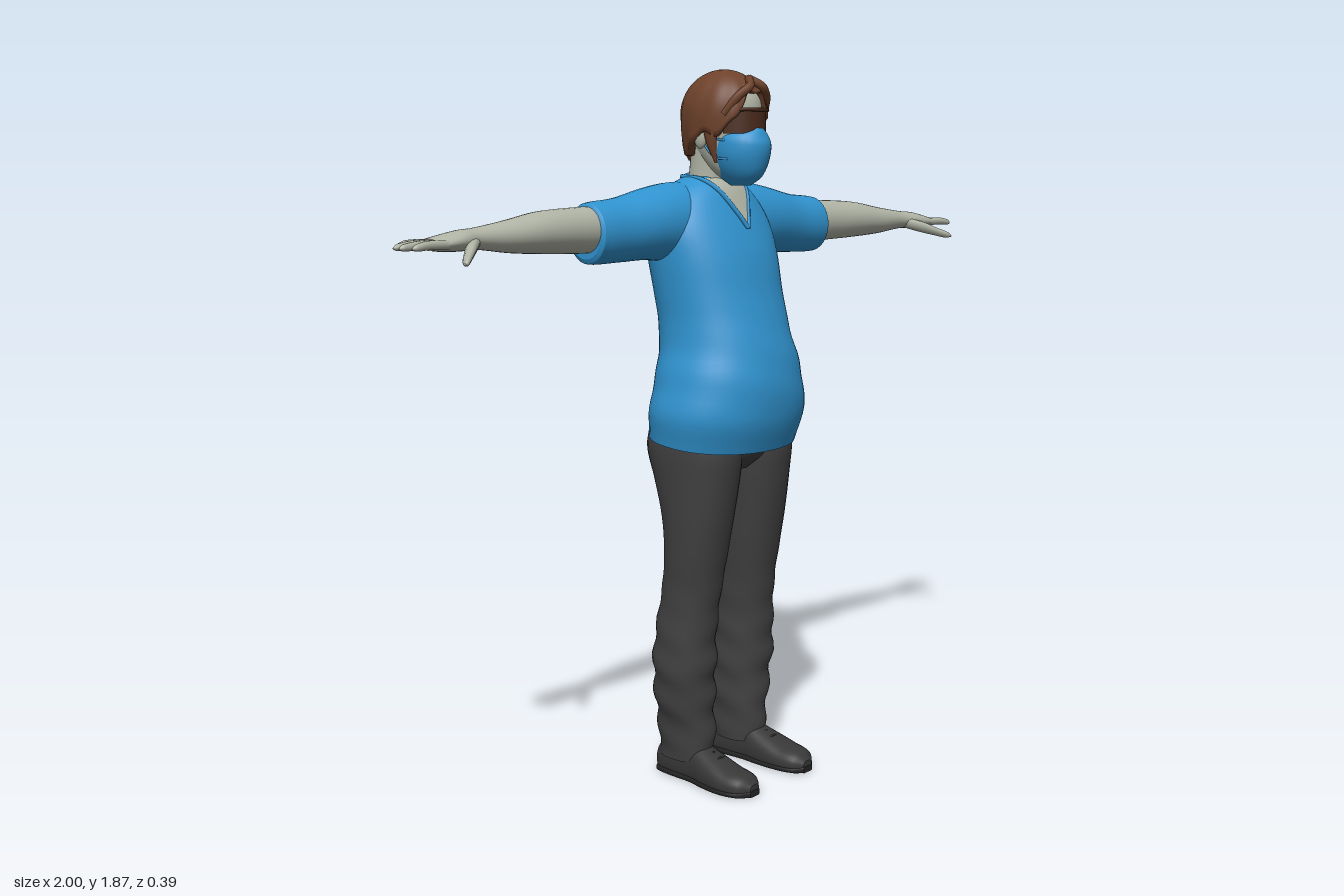
import * as THREE from 'three';

const mat = (name, color, side = THREE.FrontSide) => {
  const m = new THREE.MeshStandardMaterial({ color, side });
  m.name = name;
  return m;
};

// Smooth interpolation of table rows [t, a, b, ...] at t
function sample(rows, t) {
  const n = rows.length;
  let i = 0;
  while (i < n - 2 && t > rows[i + 1][0]) i++;
  const slope = (k, c) => {
    const a = rows[Math.max(0, k - 1)], b = rows[Math.min(n - 1, k + 1)];
    return (b[c] - a[c]) / (b[0] - a[0]);
  };
  const p = rows[i], q = rows[i + 1], h = q[0] - p[0];
  const u = Math.min(1, Math.max(0, (t - p[0]) / h)), u2 = u * u, u3 = u2 * u;
  return p.map((v, c) => c === 0 ? t
    : (2 * u3 - 3 * u2 + 1) * v + (u3 - 2 * u2 + u) * h * slope(i, c)
    + (3 * u2 - 2 * u3) * q[c] + (u3 - u2) * h * slope(i + 1, c));
}

// Surface from a grid of points f(i, j); columns may wrap round
function grid(rows, cols, f, wrap = false, caps = false) {
  const pos = [], idx = [], w = wrap ? cols : cols + 1;
  for (let i = 0; i <= rows; i++) for (let j = 0; j < w; j++) pos.push(...f(i, j));
  for (let i = 0; i < rows; i++) for (let j = 0; j < cols; j++) {
    const a = i * w + j, b = i * w + (j + 1) % w;
    idx.push(a, a + w, b, b, a + w, b + w);
  }
  if (caps) for (const i of [0, rows]) {
    const base = pos.length / 3, mid = [0, 0, 0];
    for (let j = 0; j < w; j++) {
      const p = f(i, j);
      pos.push(...p);
      p.forEach((v, k) => { mid[k] += v / w; });
    }
    pos.push(...mid);
    for (let j = 0; j < w; j++) {
      const a = base + j, b = base + (j + 1) % w;
      idx.push(base + w, ...(i ? [b, a] : [a, b]));
    }
  }
  const g = new THREE.BufferGeometry();
  g.setAttribute('position', new THREE.Float32BufferAttribute(pos, 3));
  g.setIndex(idx);
  g.computeVertexNormals();
  return g;
}

const spow = (v, e) => Math.sign(v) * Math.abs(v) ** e;

// Rounded cross-sections [t, centreA, centreB, radiusA, radiusB] along an axis
// y: (A,B) = (x,z);  x: (A,B) = (z,y);  z: (A,B) = (y,x)
function loft(axis, sections, { seg = 28, steps = 5, p = 2, warp = v => v } = {}) {
  const rows = (sections.length - 1) * steps;
  return grid(rows, seg, (i, j) => {
    const k = Math.min(sections.length - 2, Math.floor(i / steps)), u = i / steps - k;
    const t = sections[k][0] * (1 - u) + sections[k + 1][0] * u;
    const [, ca, cb, ra, rb] = sample(sections, t), th = j / seg * Math.PI * 2;
    const a = ca + ra * spow(Math.cos(th), 2 / p), b = cb + rb * spow(Math.sin(th), 2 / p);
    return warp(axis === 'y' ? [a, t, b] : axis === 'x' ? [t, b, a] : [b, a, t]);
  }, true, true);
}

const tube = (pts, r, closed = false) => new THREE.TubeGeometry(
  new THREE.CatmullRomCurve3(pts.map(p => new THREE.Vector3(...p)), closed), 20, r, 7, closed);

export function createModel() {
  const blue = mat('scrub blue', 0x3093cf, THREE.DoubleSide);
  const skin = mat('skin', 0xb0b4a5, THREE.DoubleSide);
  const grey = mat('trouser grey', 0x404040);
  const shoeGrey = mat('shoe grey', 0x383838);
  const soleGrey = mat('sole black', 0x242424);
  const brown = mat('hair brown', 0x6e422b, THREE.DoubleSide);
  const dark = mat('glasses brown', 0x4a2a1b, THREE.DoubleSide);
  const model = new THREE.Group();
  const add = (name, geometry, material, parent = model) => {
    const m = new THREE.Mesh(geometry, material);
    m.name = name;
    parent.add(m);
    return m;
  };

  // Shirt body, with a hem that dips in front and soft creases at the waist
  const torso = [
    [0.915, 0, -0.012, 0.214, 0.163], [1.0, 0, 0.005, 0.226, 0.175], [1.1, 0, 0.01, 0.202, 0.17],
    [1.2, 0, -0.003, 0.178, 0.158], [1.3, 0, -0.025, 0.18, 0.15], [1.4, 0, -0.045, 0.188, 0.145],
    [1.47, 0, -0.058, 0.188, 0.13], [1.53, 0, -0.068, 0.163, 0.112], [1.575, 0, -0.065, 0.115, 0.085],
    [1.6, 0, -0.06, 0.07, 0.055]];
  const P = 2.2;
  add('shirtBody', loft('y', torso, { seg: 48, p: P, warp: ([x, y, z]) => {
    const low = Math.max(0, 1 - (y - 0.915) / 0.15);
    const crease = 1 + 0.01 * Math.sin(y * 55 + x * 14) * Math.exp(-(((y - 1.12) / 0.12) ** 2));
    return [x * crease, y - 0.11 * z * low, z * crease];
  } }), blue);

  // V neck opening and its trim, following the chest
  const chest = (x, y, lift) => {
    const [, , cz, rx, rz] = sample(torso, y);
    return [x, y, cz + rz * Math.max(0, 1 - Math.abs(x / rx) ** P) ** (1 / P) + lift];
  };
  const vWidth = y => (y - 1.472) * 0.58;
  add('neckOpening', grid(14, 10, (i, j) => {
    const y = 1.472 + i / 14 * 0.125;
    return chest((1 - j / 5) * vWidth(y), y, 0.005);
  }), skin);
  for (const s of [1, -1]) {
    const pts = [0, 1, 2, 3, 4, 5].map(i => {
      const y = 1.47 + i * 0.0245;
      return chest(s * Math.max(0, vWidth(y)), y, 0.003);
    });
    add('collarTrim', tube([...pts, [s * 0.06, 1.6, -0.1]], 0.006), blue);
  }
  add('backCollar', tube([[0.062, 1.598, -0.09], [0, 1.602, -0.125], [-0.062, 1.598, -0.09]], 0.007), blue);

  // Arms: each follows its own line of z positions
  const armLine = {
    1: [[0.06, -0.08], [0.42, -0.045], [0.6, -0.022], [0.78, 0.003], [1, 0.01]],
    '-1': [[0.06, -0.08], [0.42, -0.09], [0.6, -0.09], [0.78, -0.085], [1, -0.09]] };
  for (const s of [1, -1]) {
    const arm = new THREE.Group();
    arm.name = s > 0 ? 'leftArm' : 'rightArm';
    model.add(arm);
    const limb = (name, rows, material, opts) => {
      let sec = rows.map(([x, z, ...r]) => [s * x, z + sample(armLine[s], x)[1], ...r]);
      if (s < 0) sec = sec.reverse();
      add(name, loft('x', sec, opts), material, arm);
    };
    limb('sleeve', [[0.06, 0, 1.49, 0.088, 0.098], [0.14, 0, 1.485, 0.092, 0.1], [0.22, 0, 1.482, 0.087, 0.09],
      [0.32, 0, 1.47, 0.073, 0.08], [0.415, 0, 1.465, 0.065, 0.075], [0.422, 0, 1.466, 0.056, 0.064]], blue,
    { seg: 32 });
    limb('forearm', [[0.36, 0, 1.475, 0.054, 0.058], [0.46, 0, 1.474, 0.054, 0.056], [0.58, 0, 1.473, 0.053, 0.05],
      [0.68, 0, 1.468, 0.043, 0.038], [0.78, 0, 1.467, 0.029, 0.025], [0.83, 0.002, 1.464, 0.037, 0.024],
      [0.875, 0, 1.46, 0.043, 0.019], [0.91, -0.002, 1.458, 0.041, 0.013]], skin);
    [[0.032, 0.985], [0.011, 1], [-0.011, 0.995], [-0.032, 0.972]].forEach(([z, tip]) => {
      limb('finger', [[0.88, z, 1.459, 0.01, 0.011], [0.94, z * 1.1, 1.459, 0.0095, 0.0105],
        [tip - 0.012, z * 1.2, 1.455, 0.008, 0.008], [tip, z * 1.2, 1.453, 0.002, 0.002]], skin, { seg: 10 });
    });
    limb('thumb', [[0.785, 0.012, 1.46, 0.015, 0.015], [0.825, 0.042, 1.447, 0.019, 0.016],
      [0.86, 0.072, 1.432, 0.016, 0.012], [0.885, 0.095, 1.422, 0.012, 0.009], [0.895, 0.104, 1.418, 0.003, 0.003]],
    skin, { seg: 12 });
  }

  // Trousers
  add('trouserSeat', loft('y', [[0.84, 0, -0.02, 0.06, 0.08], [0.88, 0, -0.02, 0.14, 0.12],
    [0.96, 0, -0.02, 0.19, 0.14]]), grey);
  const leg = [[0.055, 0.108, -0.047, 0.056, 0.08], [0.13, 0.108, -0.047, 0.06, 0.084],
    [0.22, 0.115, -0.047, 0.071, 0.083], [0.32, 0.12, -0.043, 0.077, 0.086], [0.42, 0.118, -0.037, 0.074, 0.083],
    [0.52, 0.112, -0.024, 0.073, 0.081], [0.62, 0.11, -0.01, 0.08, 0.084], [0.72, 0.108, -0.005, 0.086, 0.098],
    [0.82, 0.104, -0.012, 0.093, 0.122], [0.9, 0.103, -0.02, 0.096, 0.14], [0.97, 0.1, -0.02, 0.09, 0.13]];
  const shoe = [[-0.137, 0.03, 0.105, 0.02, 0.02], [-0.125, 0.035, 0.105, 0.045, 0.038],
    [-0.07, 0.04, 0.107, 0.06, 0.045], [0.0, 0.04, 0.11, 0.062, 0.045], [0.06, 0.03, 0.114, 0.052, 0.053],
    [0.12, 0.022, 0.117, 0.04, 0.055], [0.17, 0.02, 0.116, 0.032, 0.044], [0.195, 0.02, 0.113, 0.012, 0.018]];
  for (const s of [1, -1]) {
    const side = s > 0 ? 'left' : 'right';
    const flip = rows => rows.map(([t, x, ...r]) => [t, s * x, ...r]);
    add(side + 'TrouserLeg', loft('y', flip(leg), { seg: 32, p: 2.15, warp: ([x, y, z]) => {
      const fold = 0.004 * Math.sin(y * 62 + z * 25 + s) * Math.exp(-(((y - 0.25) / 0.22) ** 2));
      return [x + fold, y, z + fold];
    } }), grey);
    const across = rows => rows.map(([t, y, x, a, b]) => [t, y, s * x, a, b]);
    add(side + 'Shoe', loft('z', across(shoe), { p: 2.3, warp: ([x, y, z]) => [x, Math.max(0.006, y), z] }), shoeGrey);
    const sole = shoe.map(([t, y, x, a, b]) => [t * 1.005, 0.008, x, 0.009, b * 1.05]);
    add(side + 'Sole', loft('z', across(sole), { p: 4, warp: ([x, y, z]) => [x, Math.max(0, y), z] }), soleGrey);
    for (const z of [0.05, 0.075]) {
      add(side + 'Lace', tube([[s * 0.085, 0.066, z], [s * 0.112, 0.083 - (z - 0.05) * 0.3, z], [s * 0.14, 0.066, z]],
        0.004), soleGrey);
    }
  }

  // Neck, head and ears
  add('neck', loft('y', [[1.54, 0, -0.055, 0.07, 0.065], [1.6, 0, -0.05, 0.061, 0.058],
    [1.68, 0, -0.04, 0.058, 0.06]]), skin);
  add('head', loft('y', [[1.59, 0, 0.04, 0.03, 0.035], [1.62, 0, 0.02, 0.053, 0.065], [1.67, 0, 0, 0.068, 0.093],
    [1.73, 0, 0, 0.075, 0.1], [1.79, 0, -0.002, 0.076, 0.1], [1.83, 0, -0.005, 0.06, 0.08]]), skin);
  for (const s of [1, -1]) {
    const ear = add('ear', new THREE.SphereGeometry(1, 14, 10), skin);
    ear.scale.set(0.012, 0.03, 0.02);
    ear.position.set(s * 0.082, 1.7, -0.015);
  }

  // Face mask with ear loops
  add('faceMask', loft('y', [[1.578, 0, 0.05, 0.02, 0.03], [1.6, 0, 0.05, 0.045, 0.06], [1.64, 0, 0.05, 0.064, 0.078],
    [1.68, 0, 0.05, 0.068, 0.084], [1.705, 0, 0.05, 0.06, 0.075], [1.722, 0, 0.06, 0.03, 0.058]]), blue);
  for (const s of [1, -1]) for (const y of [1.645, 1.69]) {
    add('maskStrap', tube([[s * 0.062, y, 0.06], [s * 0.074, y + 0.005, 0.025], [s * 0.082, 1.7, -0.02]], 0.003), blue);
  }

  // Wraparound glasses
  add('glasses', grid(6, 24, (i, j) => {
    const a = Math.PI * (0.14 + 0.72 * j / 24), y = 1.708 + i / 6 * 0.058;
    const drop = (i < 3 ? 0.012 * (1 - i / 3) * Math.exp(-((Math.cos(a) / 0.18) ** 2)) : 0);
    return [0.08 * Math.cos(a), y + drop, 0.006 + 0.108 * Math.sin(a)];
  }), dark);
  add('glassesBrow', tube([[0.076, 1.762, 0.045], [0.05, 1.767, 0.096], [0, 1.767, 0.118],
    [-0.05, 1.767, 0.096], [-0.076, 1.762, 0.045]], 0.005), dark);
  for (const s of [1, -1]) {
    add('glassesTemple', tube([[s * 0.074, 1.755, 0.055], [s * 0.081, 1.745, 0.02], [s * 0.086, 1.73, -0.03]], 0.004), dark);
  }

  // Hair: a cap whose hem rises over the forehead and falls to the nape
  const hem = [[0, 1.812], [0.35, 1.8], [0.75, 1.742], [1.15, 1.705], [1.57, 1.708], [2.1, 1.665], [3.15, 1.64]];
  add('hair', grid(18, 72, (i, j) => {
    const a = j / 72 * Math.PI * 2;
    const front = Math.abs(Math.atan2(Math.cos(a), Math.sin(a)));
    const low = sample(hem, front)[1] + 0.005 * Math.sin(a * 11);
    const v = Math.min(1, i / 17), y = low + (1.87 - low) * Math.cos(v * Math.PI / 2);
    const d = (y - 1.755) / 0.115;
    let r = d > 0 ? Math.sqrt(Math.max(0, 1 - d * d)) : 1 - 0.14 * d * d;
    r *= 1 + 0.022 * v * Math.sin(a * 13 + y * 30) - (i === 18 ? 0.2 : 0);
    return [0.096 * r * Math.cos(a) - 0.003, y, -0.005 + 0.122 * r * Math.sin(a)];
  }, true).rotateY(0), brown);
  // Fringe sweeps and loose side locks
  const lock = (name, rows) => add(name, loft('y', rows, { seg: 10 }), brown);
  for (const s of [1, -1]) {
    add('fringe', tube([[0, 1.845, 0.075], [s * 0.025, 1.825, 0.1], [s * 0.055, 1.8, 0.088], [s * 0.077, 1.755, 0.058]],
      0.011), brown);
    lock('sideLock', [[s < 0 ? 1.635 : 1.66, s * 0.074, 0.03, 0.003, 0.004], [1.68, s * 0.082, 0.022, 0.01, 0.014],
      [1.72, s * 0.084, 0.02, 0.011, 0.022], [1.77, s * 0.084, 0.02, 0.008, 0.02]]);
  }
  return model;
}
